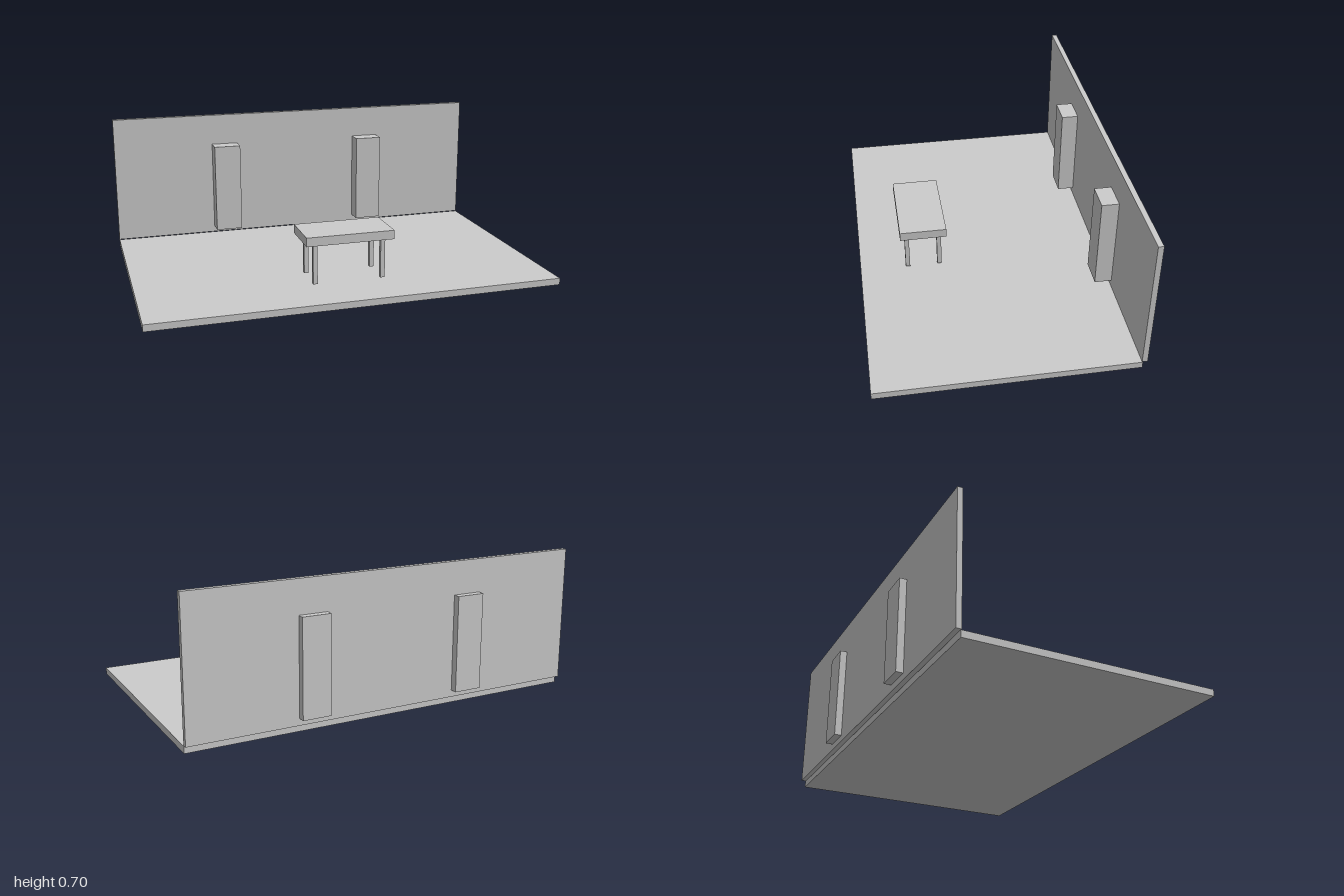
import * as THREE from 'three';

const material = new THREE.MeshStandardMaterial({ color: 0xcccccc });

// Box given by its [min, max] range on each axis
function box(name, [x0, x1], [y0, y1], [z0, z1]) {
  const mesh = new THREE.Mesh(new THREE.BoxGeometry(x1 - x0, y1 - y0, z1 - z0), material);
  mesh.position.set((x0 + x1) / 2, (y0 + y1) / 2, (z0 + z1) / 2);
  mesh.name = name;
  return mesh;
}

export function createModel() {
  const model = new THREE.Group();
  model.name = 'room';

  // Floor slab and back wall
  model.add(box('floor', [-1, 1], [0, 0.033], [-0.583, 0.64]));
  model.add(box('backWall', [-1, 1], [0.036, 0.697], [-0.605, -0.579]));

  // Table top with four legs
  const table = new THREE.Group();
  table.name = 'table';
  table.add(box('tableTop', [-0.217, 0.217], [0.241, 0.285], [0.205, 0.435]));

  for (const side of [-1, 1]) {
    const x = side * 0.168;
    for (const z of [0.24, 0.401]) {
      table.add(box('tableLeg', [x - 0.011, x + 0.011], [0.045, 0.241], [z - 0.011, z + 0.011]));
    }

    // Tall panel set through the wall
    const px = side * 0.404;
    model.add(box(side > 0 ? 'leftPanel' : 'rightPanel',
      [px - 0.07, px + 0.07], [0.069, 0.536], [-0.64, -0.495]));
  }
  model.add(table);

  return model;
}
